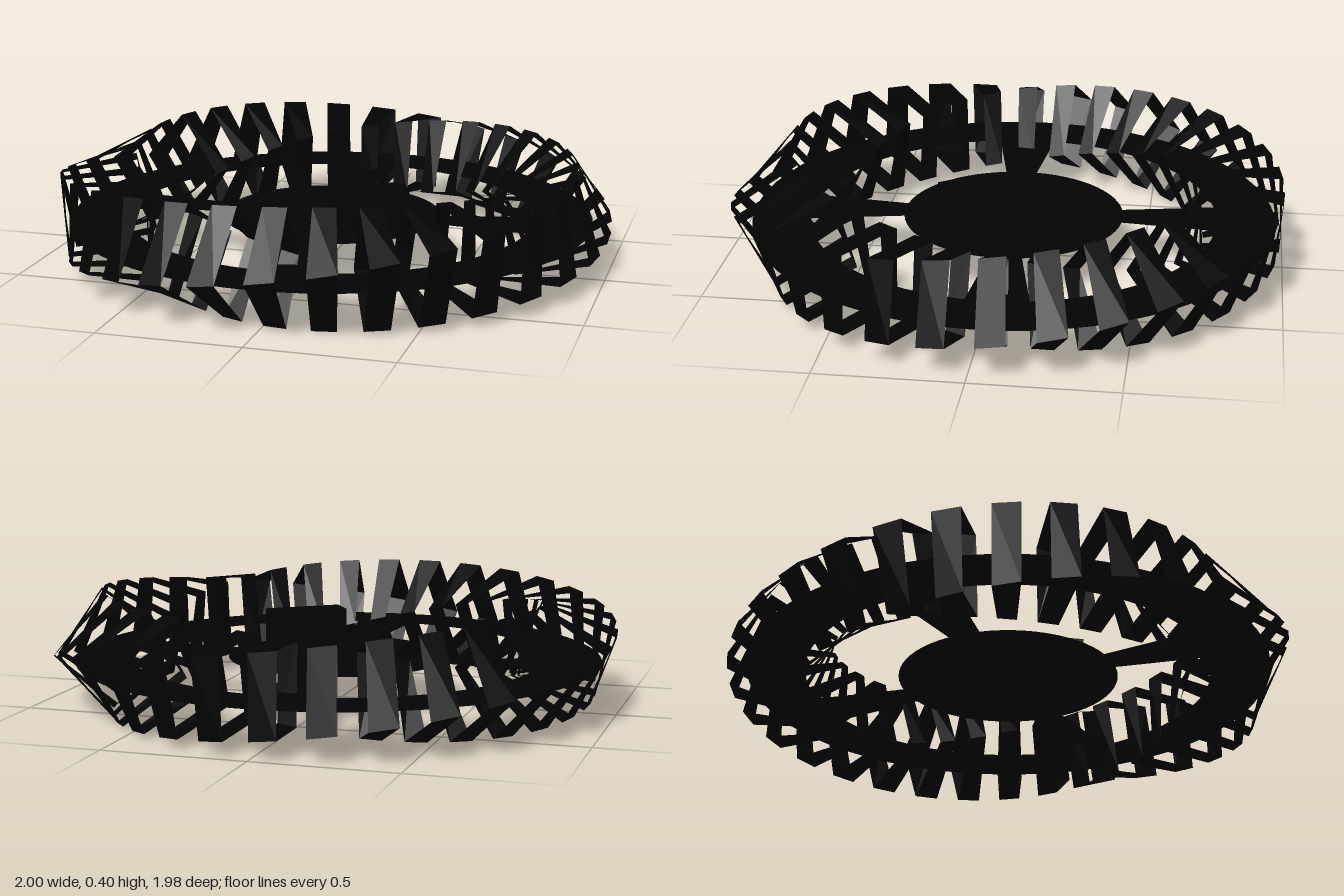
import * as THREE from 'three';

const SEG = 64;                        // angular divisions of the whole wheel
const STEP = (Math.PI * 2) / SEG;
const RING_R = 0.815, FRAME_R = 0.2;   // frame centre circle, frame half diagonal
const DECK_Y = -0.04;                  // deck height relative to the frame centres

// Corner k of the square frame at angle phi; the square makes three quarter turns per lap
function corner(phi, k) {
  const twist = (Math.PI / 2 - phi) * 0.75 + (k * Math.PI) / 2;
  const r = RING_R + FRAME_R * Math.cos(twist);
  return [r * Math.cos(phi), FRAME_R * Math.sin(twist), r * Math.sin(phi)];
}

// One open square band, a slice of the twisted tube
function bandGeometry(start) {
  const pos = [], index = [];
  for (let k = 0; k < 4; k++) {
    const b = k * 4;
    pos.push(...corner(start, k), ...corner(start, k + 1),
      ...corner(start + STEP, k + 1), ...corner(start + STEP, k));
    index.push(b, b + 1, b + 2, b, b + 2, b + 3);
  }
  const g = new THREE.BufferGeometry();
  g.setAttribute('position', new THREE.Float32BufferAttribute(pos, 3));
  g.setIndex(index);
  g.computeVertexNormals();
  return g;
}

export function createModel() {
  const model = new THREE.Group();
  model.position.set(0, 0.2, -0.03);
  const mat = new THREE.MeshStandardMaterial({
    color: 0x030303, side: THREE.DoubleSide, flatShading: true });
  const add = (name, geometry, parent) => {
    const mesh = new THREE.Mesh(geometry, mat);
    mesh.name = name;
    parent.add(mesh);
    return mesh;
  };
  const flat = (inner, outer, segs, start, length) =>
    new THREE.RingGeometry(inner, outer, segs, 1, start, length).rotateX(Math.PI / 2);

  // Flat hub and walkway ring
  const deck = new THREE.Group();
  deck.name = 'deck';
  deck.position.y = DECK_Y;
  model.add(deck);
  add('hub', new THREE.CircleGeometry(0.395, SEG).rotateX(Math.PI / 2), deck);
  add('walkwayRing', flat(0.73, 0.94, SEG, 0, Math.PI * 2), deck);

  // Four flaring spokes, three divisions wide
  for (let i = 0; i < 4; i++)
    add('spoke', flat(0.39, 0.735, 3, (i * Math.PI) / 2 - 2 * STEP, 3 * STEP), deck);

  // Low block standing on the hub, turned off the axes
  const block = add('hubBlock', new THREE.BoxGeometry(0.28, 0.14, 0.1), deck);
  block.position.set(0.17, 0.07, 0.14);
  block.rotation.y = 0.62;

  // Twisting square frames on every second division
  const frames = new THREE.Group();
  frames.name = 'twistedFrames';
  model.add(frames);
  for (let i = 0; i < SEG; i += 2) add('squareFrame', bandGeometry((i - 1) * STEP), frames);

  const group = new THREE.Group();
  group.name = 'twistedRingStation';
  group.add(model);
  return group;
}
